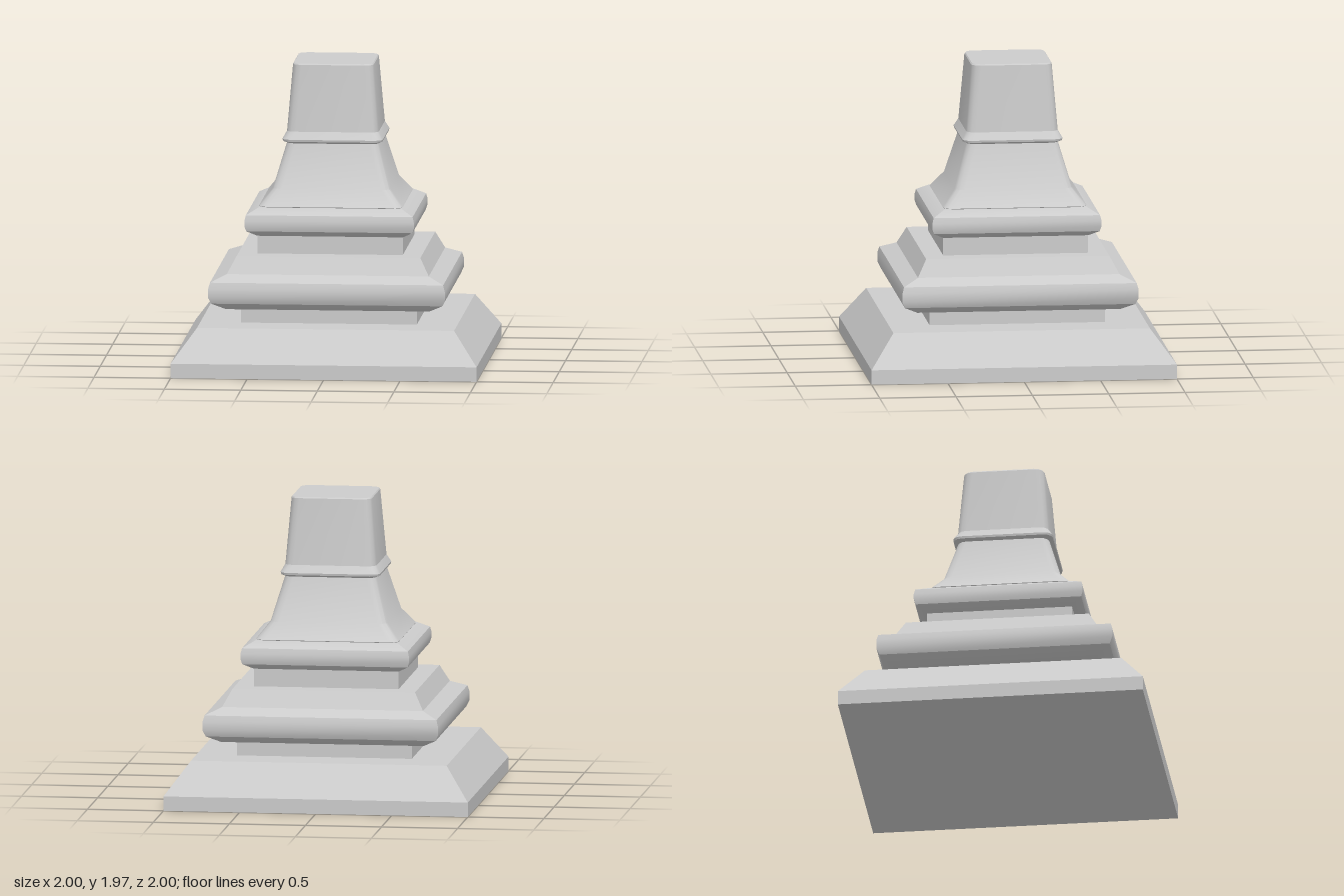
import * as THREE from 'three';
import { toCreasedNormals } from 'three/addons/utils/BufferGeometryUtils.js';

const material = new THREE.MeshStandardMaterial({ color: 0xcccccc });

// Outline of a square with half-width h; corners rounded by radius r in segs steps
function squareRing(h, y, r, segs) {
  const ring = [];
  for (let c = 0; c < 4; c++) {
    const mid = Math.PI / 4 + c * Math.PI / 2;
    const cx = Math.sign(Math.cos(mid)) * (h - r);
    const cz = Math.sign(Math.sin(mid)) * (h - r);
    for (let s = 0; s <= segs; s++) {
      const a = c * Math.PI / 2 + (segs ? s / segs : 0) * Math.PI / 2;
      ring.push(segs
        ? [cx + r * Math.cos(a), y, cz + r * Math.sin(a)]
        : [cx, y, cz]);
    }
  }
  return ring;
}

// Solid from [halfWidth, y] profile points, bottom to top, capped at both ends
function squareLoft(name, profile, r = 0, segs = 0, crease = 0.55) {
  const rings = profile.map(([h, y]) => squareRing(h, y, r, segs));
  const n = rings[0].length;
  const pos = [];
  const tri = (a, b, c) => pos.push(...a, ...b, ...c);
  for (let k = 0; k < rings.length - 1; k++) {
    for (let i = 0; i < n; i++) {
      const j = (i + 1) % n;
      const lo = rings[k], hi = rings[k + 1];
      tri(lo[i], hi[i], lo[j]);
      tri(lo[j], hi[i], hi[j]);
    }
  }
  const bottom = rings[0], top = rings[rings.length - 1];
  const c0 = [0, profile[0][1], 0], c1 = [0, profile[profile.length - 1][1], 0];
  for (let i = 0; i < n; i++) {
    const j = (i + 1) % n;
    tri(c0, bottom[i], bottom[j]);
    tri(c1, top[j], top[i]);
  }
  const geo = new THREE.BufferGeometry();
  geo.setAttribute('position', new THREE.Float32BufferAttribute(pos, 3));
  const mesh = new THREE.Mesh(toCreasedNormals(geo, crease), material);
  mesh.name = name;
  return mesh;
}

export function createModel() {
  const group = new THREE.Group();
  group.name = 'pedestal';
  group.add(
    // Stepped base, mouldings and necks with sharp mitred corners
    squareLoft('plinth', [[1, 0], [1, 0.095], [0.84, 0.31]]),
    squareLoft('lowerNeck', [[0.575, 0.31], [0.575, 0.41]]),
    squareLoft('lowerMoulding', [
      [0.665, 0.41], [0.755, 0.458], [0.774, 0.5], [0.774, 0.555], [0.762, 0.597],
      [0.66, 0.64], [0.6, 0.752],
    ]),
    squareLoft('upperNeck', [[0.475, 0.752], [0.475, 0.868]]),
    squareLoft('upperMoulding', [
      [0.475, 0.868], [0.543, 0.906], [0.554, 0.94], [0.554, 0.975], [0.545, 1.012], [0.465, 1.055],
    ]),
    // Tapering shaft with rounded corners
    squareLoft('flaredFoot', [
      [0.465, 1.05], [0.47, 1.058], [0.465, 1.065], [0.385, 1.165], [0.3, 1.455],
    ], 0.06, 3),
    squareLoft('collar', [
      [0.3, 1.453], [0.325, 1.466], [0.328, 1.48], [0.3, 1.53],
    ], 0.06, 3),
    squareLoft('shaft', [
      [0.3, 1.53], [0.264, 1.965], [0.258, 1.973],
    ], 0.06, 3),
  );
  return group;
}
